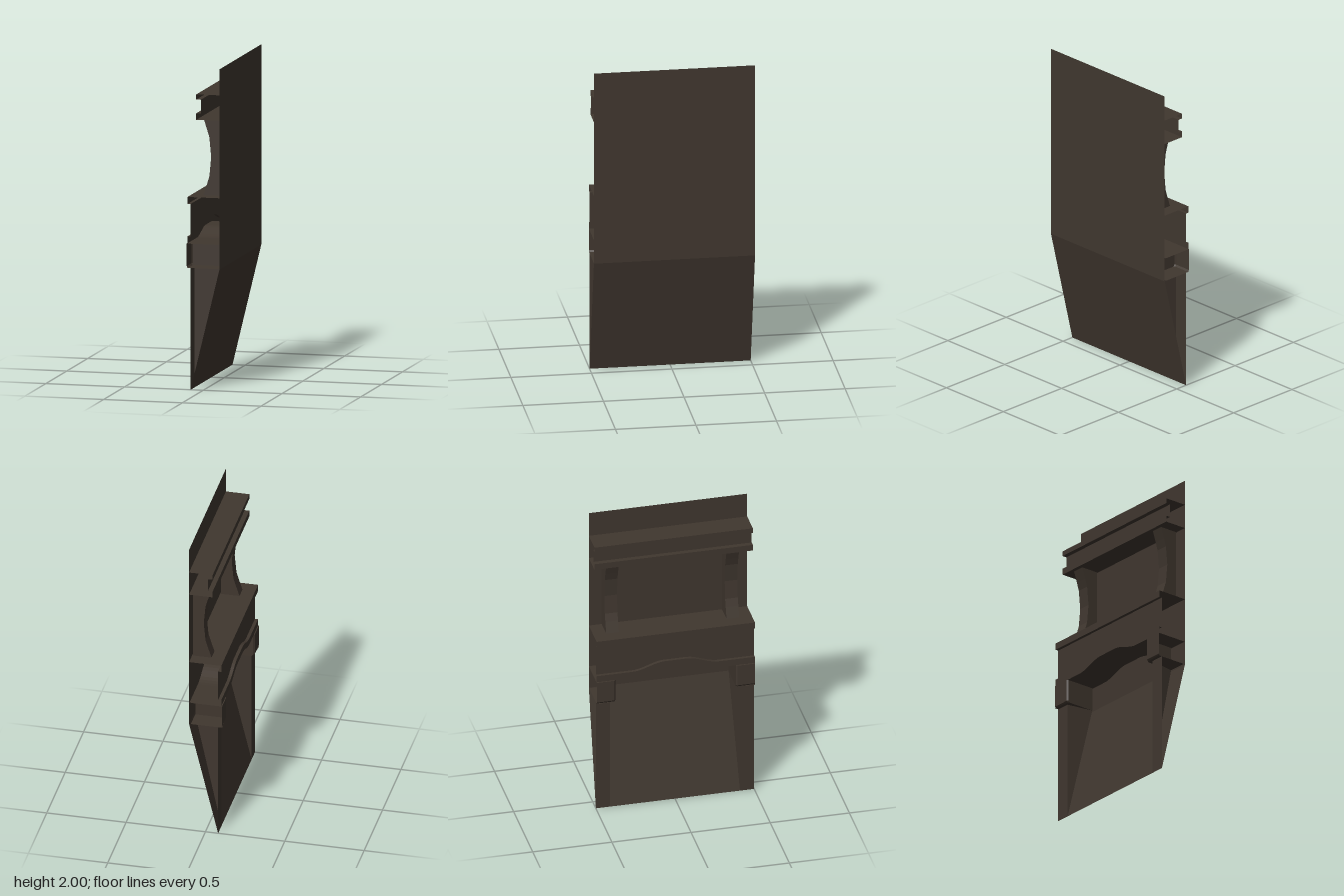
import * as THREE from 'three';

const darkWood = new THREE.MeshStandardMaterial({ color: 0x40372f, side: THREE.DoubleSide });
darkWood.name = 'darkWood';

// Flat-shaded surface lofted through rows of [x, y, z] points
function loft(name, rows) {
  const pos = [];
  for (let i = 0; i < rows.length - 1; i++) {
    for (let j = 0; j < rows[i].length - 1; j++) {
      const a = rows[i][j], b = rows[i][j + 1], c = rows[i + 1][j + 1], d = rows[i + 1][j];
      pos.push(...a, ...b, ...c, ...a, ...c, ...d);
    }
  }
  const geo = new THREE.BufferGeometry();
  geo.setAttribute('position', new THREE.Float32BufferAttribute(pos, 3));
  geo.computeVertexNormals();
  const mesh = new THREE.Mesh(geo, darkWood);
  mesh.name = name;
  return mesh;
}

// Open [x, y] profile run along the full width in z
const run = (name, profile) =>
  loft(name, [-0.5, 0.5].map(z => profile.map(([x, y]) => [x, y, z])));

// Lower edge of the frieze: flat at the ends, raised in the middle
function archY(z) {
  const t = THREE.MathUtils.clamp((0.27 - Math.abs(z)) / 0.2, 0, 1);
  return 0.91 + 0.048 * t * t * (3 - 2 * t);
}

// One corbel, leg and shelf bracket; s mirrors them in z
function addSide(group, s) {
  const flip = rows => rows.map(r => r.map(([x, y, z]) => [x, y, z * s]));

  // Corbel block, open at the outer end, with softened corners
  const plan = [[0.092, 0.38], [-0.096, 0.38], [-0.105, 0.388], [-0.105, 0.5]];
  const level = (y, inset) => plan.map(([x, z], i) => [i ? x + inset : x, y, z]);
  const outer = y => plan.map(([x]) => [x, y, 0.5]);
  group.add(loft('corbel', flip([
    outer(0.908), level(0.908, 0), level(0.768, 0), level(0.757, 0.008), outer(0.757),
  ])));

  // Tapering leg: inner side and front
  group.add(loft('leg', flip([
    [[0.092, 0.757, 0.38], [-0.08, 0.757, 0.41], [-0.08, 0.757, 0.5]],
    [[-0.08, 0, 0.41], [-0.08, 0, 0.41], [-0.08, 0, 0.5]],
  ])));

  // Curved bracket between the mantel and the upper shelf
  const shape = new THREE.Shape([
    [0.097, 1.2], [0.097, 1.68], [-0.02, 1.68], [0.003, 1.61], [0.018, 1.56], [0.029, 1.44],
    [0.018, 1.32], [0.003, 1.27], [-0.02, 1.2],
  ].map(p => new THREE.Vector2(...p)));
  const geo = new THREE.ExtrudeGeometry(shape, { depth: 0.08, bevelEnabled: false });
  const bracket = new THREE.Mesh(geo, darkWood);
  bracket.position.z = s > 0 ? 0.34 : -0.42;
  bracket.name = 'bracket';
  group.add(bracket);
}

export function createModel() {
  const group = new THREE.Group();
  group.name = 'fireplaceSurround';

  // Back wall and sloping lower panel
  group.add(run('backWall', [[0.103, 2], [0.103, 0.755]]));
  group.add(run('slopingPanel', [[0.103, 0.755], [-0.08, 0]]));

  // Upper shelf with a recessed neck and lower lip
  group.add(run('upperShelf', [
    [0.103, 1.838], [-0.045, 1.838], [-0.045, 1.806], [-0.015, 1.806],
    [-0.015, 1.72], [-0.045, 1.72], [-0.045, 1.68], [0.103, 1.68],
  ]));

  // Mantel shelf
  group.add(run('mantel', [[0.103, 1.198], [-0.1, 1.198], [-0.1, 1.155], [-0.08, 1.155]]));

  // Frieze, its arched moulding and the underside
  const rows = [];
  for (let i = 0; i <= 40; i++) {
    const z = i / 40 - 0.5, y = archY(z);
    rows.push([
      [-0.08, 1.155, z], [-0.08, y + 0.043, z], [-0.1, y + 0.043, z], [-0.1, y, z], [0.1, y, z],
    ]);
  }
  group.add(loft('archedFrieze', rows));

  for (const s of [-1, 1]) addSide(group, s);
  return group;
}
